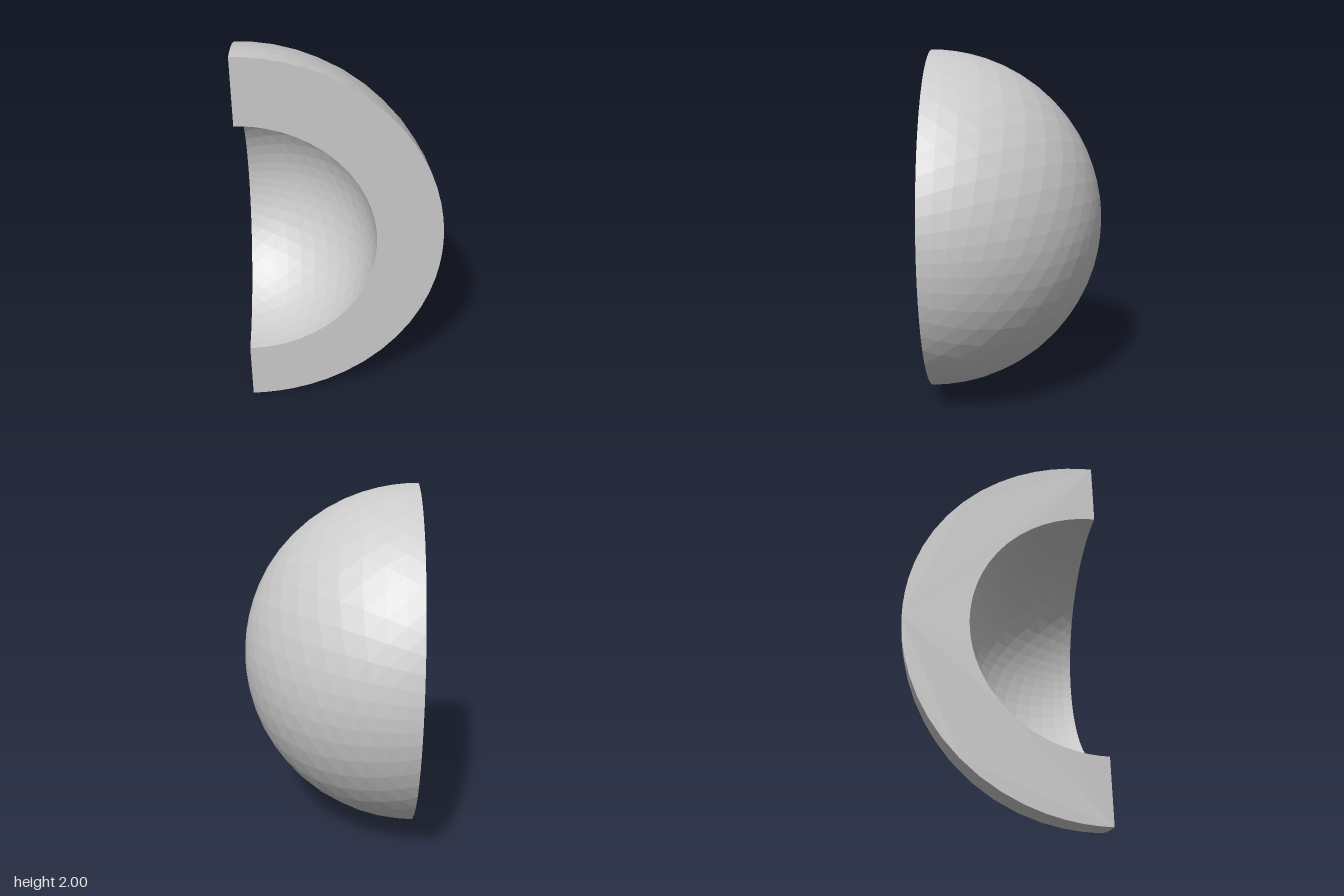
import * as THREE from 'three';

const OUTER = 1, INNER = 0.667, STEPS = 16;

// Quarter of a faceted sphere covering x > 0, z < 0; optionally turned inside out
function quarterSphere(radius, inward) {
  const src = new THREE.OctahedronGeometry(radius, STEPS - 1).getAttribute('position');
  const corners = [];
  for (let i = 0; i < src.count; i += 3) {
    const tri = [0, 1, 2].map(k => new THREE.Vector3().fromBufferAttribute(src, i + k));
    if (tri[0].x + tri[1].x + tri[2].x < 0 || tri[0].z + tri[1].z + tri[2].z > 0) continue;
    corners.push(...(inward ? tri.reverse() : tri));
  }
  const geometry = new THREE.BufferGeometry().setFromPoints(corners);
  geometry.computeVertexNormals();
  return geometry;
}

// Half circle from bottom to top, with the same spacing as the sphere edges
function halfCircle(radius) {
  const points = [];
  for (let i = -STEPS; i <= STEPS; i++) {
    const t = i / STEPS;
    points.push(new THREE.Vector2(1 - Math.abs(t), t).setLength(radius));
  }
  return points;
}

// Flat half ring closing the wall between the two spheres
function halfRing() {
  const shape = new THREE.Shape([...halfCircle(OUTER), ...halfCircle(INNER).reverse()]);
  return new THREE.ShapeGeometry(shape);
}

export function createModel() {
  const group = new THREE.Group();
  group.name = 'quarterShell';
  const material = new THREE.MeshStandardMaterial({ color: 0xcccccc, flatShading: true });

  const add = (name, geometry) => {
    const mesh = new THREE.Mesh(geometry, material);
    mesh.name = name;
    mesh.position.set(-0.5, 1, 0.5);
    group.add(mesh);
  };

  // Curved walls
  add('outerSurface', quarterSphere(OUTER, false));
  add('innerSurface', quarterSphere(INNER, true));

  // Cut faces, one towards the front and one towards the right
  add('frontCutFace', halfRing());
  add('sideCutFace', halfRing().rotateX(Math.PI).rotateY(Math.PI / 2));

  return group;
}
